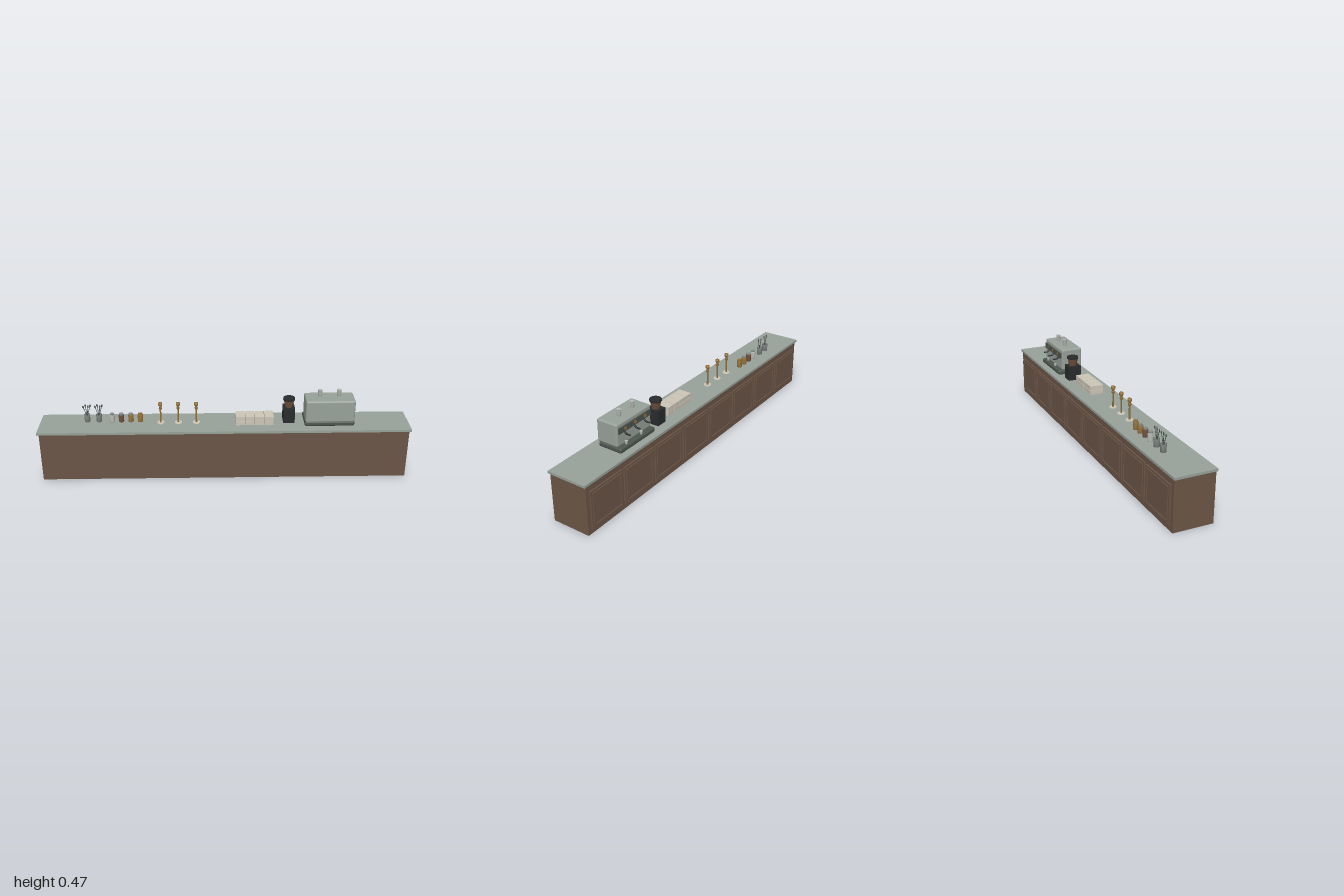
import * as THREE from 'three';
import { RoundedBoxGeometry } from 'three/addons/geometries/RoundedBoxGeometry.js';

const mat = (name, color) => {
  const m = new THREE.MeshStandardMaterial({ color });
  m.name = name;
  return m;
};

export function createModel() {
  const wood = mat('wood', 0x6b5546);
  const stone = mat('stone', 0x98a19a);
  const darkSteel = mat('darkSteel', 0x4c554f);
  const black = mat('black', 0x2a2b2c);
  const cream = mat('cream', 0xcdc6b8);
  const brass = mat('brass', 0x94713a);
  const steel = mat('steel', 0x858b88);
  const beans = mat('beans', 0x6e4f3c);
  const glass = mat('glass', 0xb4b8b2);
  glass.side = THREE.DoubleSide;
  steel.side = THREE.DoubleSide;

  const model = new THREE.Group();
  model.name = 'coffeeCounter';
  const TOP = 0.285; // counter surface

  const add = (parent, name, geo, material, x = 0, y = 0, z = 0) => {
    const m = new THREE.Mesh(geo, material);
    m.name = name;
    m.position.set(x, y, z);
    parent.add(m);
    return m;
  };
  const group = (name, x, y, z) => {
    const g = new THREE.Group();
    g.name = name;
    g.position.set(x, y, z);
    model.add(g);
    return g;
  };
  // Box given by its min and max corners
  const box = (parent, name, material, x0, x1, y0, y1, z0, z1, r = 0) => {
    const s = [x1 - x0, y1 - y0, z1 - z0];
    const geo = r ? new RoundedBoxGeometry(...s, 3, r) : new THREE.BoxGeometry(...s);
    return add(parent, name, geo, material, (x0 + x1) / 2, (y0 + y1) / 2, (z0 + z1) / 2);
  };
  // Upright cylinder standing on y
  const cyl = (parent, name, material, rTop, rBottom, y, h, x = 0, z = 0, n = 16) =>
    add(parent, name, new THREE.CylinderGeometry(rTop, rBottom, h, n), material, x, y + h / 2, z);
  const lathe = (parent, name, material, points, n = 16) =>
    add(parent, name, new THREE.LatheGeometry(points.map(p => new THREE.Vector2(...p)), n), material);
  // Round bar between two points
  const bar = (parent, name, material, a, b, r) => {
    const A = new THREE.Vector3(...a), B = new THREE.Vector3(...b);
    const d = B.clone().sub(A);
    const m = add(parent, name, new THREE.CylinderGeometry(r, r, d.length(), 8), material);
    m.position.copy(A).add(B).multiplyScalar(0.5);
    m.quaternion.setFromUnitVectors(new THREE.Vector3(0, 1, 0), d.normalize());
    return m;
  };

  // Counter
  box(model, 'counterBody', wood, -0.988, 0.988, 0.001, 0.272, -0.102, 0.1125);
  box(model, 'countertop', stone, -1, 1, 0.272, TOP, -0.109, 0.115);
  cyl(model, 'floorDrain', black, 0.015, 0.015, 0, 0.002, 0.755, 0.055);
  cyl(model, 'floorInlet', steel, 0.015, 0.015, 0, 0.002, 0.7, 0.058);

  // Cabinet doors with raised mouldings along the back
  const rect = (P, w, h) => {
    const p = new P();
    p.moveTo(-w, -h).lineTo(w, -h).lineTo(w, h).lineTo(-w, h).closePath();
    return p;
  };
  const moulding = rect(THREE.Shape, 0.104, 0.0925);
  moulding.holes.push(rect(THREE.Path, 0.093, 0.0815));
  const mouldingGeo = new THREE.ExtrudeGeometry(moulding, { depth: 0.005, bevelEnabled: false });
  for (let i = 0; i < 8; i++) {
    const x = (i - 3.5) * 0.243;
    box(model, 'cabinetDoor', wood, x - 0.115, x + 0.115, 0.027, 0.235, -0.11, -0.102);
    add(model, 'doorMoulding', mouldingGeo, wood, x, 0.131, -0.115);
  }

  // Coffee machine
  const machine = group('coffeeMachine', 0.565, 0, 0);
  box(machine, 'machineBase', darkSteel, -0.134, 0.134, TOP, 0.312, -0.074, 0.066, 0.009);
  box(machine, 'machineBody', stone, -0.132, 0.132, 0.311, 0.435, -0.051, 0.073, 0.01);
  box(machine, 'controlPanel', darkSteel, -0.122, 0.122, 0.382, 0.413, -0.058, -0.05);
  for (const x of [-0.075, 0, 0.075]) {
    const dial = cyl(machine, 'dial', brass, 0.009, 0.009, 0, 0.003, 0, 0);
    dial.rotation.x = Math.PI / 2;
    dial.position.set(x, 0.398, -0.059);
    bar(machine, 'brewNeck', black, [x, 0.379, -0.05], [x, 0.367, -0.063], 0.005);
    bar(machine, 'brewHandle', black, [x, 0.367, -0.061], [x, 0.367, -0.086], 0.004);
  }
  for (const x of [-0.04, 0.075]) cyl(machine, 'trayCup', glass, 0.008, 0.006, 0.312, 0.017, x, -0.059);
  for (const x of [-0.052, 0.05])
    for (let i = 0; i < 3; i++)
      cyl(machine, 'stackedCup', glass, 0.0125, 0.009, 0.434 + i * 0.009, 0.02, x, 0);

  // Grinder
  const grinder = group('grinder', 0.35, TOP, -0.018);
  box(grinder, 'grinderBody', black, -0.031, 0.031, 0, 0.082, -0.037, 0.037);
  cyl(grinder, 'beanHopper', beans, 0.029, 0.021, 0.082, 0.041, 0, 0, 24);
  cyl(grinder, 'hopperLid', black, 0.032, 0.032, 0.123, 0.011, 0, 0, 24);

  // Stacked cartons, two layers of four
  for (let i = 0; i < 4; i++)
    for (let j = 0; j < 2; j++) {
      const x = 0.061 + i * 0.0515, y = TOP + j * 0.025;
      box(model, 'carton', cream, x, x + 0.049, y, y + 0.0235, -0.034, 0.042);
    }

  // Brass stands
  for (const x of [-0.345, -0.25, -0.152]) {
    const stand = group('brassStand', x, TOP, 0.001);
    cyl(stand, 'standFoot', cream, 0.02, 0.021, 0, 0.004, 0, 0, 24);
    lathe(stand, 'standStem', brass, [[0, 0.004], [0.0045, 0.004], [0.004, 0.075], [0.009, 0.085],
      [0.008, 0.091], [0.005, 0.096], [0.011, 0.105], [0.011, 0.118], [0, 0.12]]);
  }

  // Ingredient jars
  [[-0.61, glass], [-0.56, beans], [-0.508, brass], [-0.457, brass]].forEach(([x, fill], i) => {
    const jar = group('jar', x, TOP, -0.02);
    lathe(jar, 'jarBody', fill, [[0, 0], [0.0135, 0], [0.0145, 0.003], [0.0145, 0.036], [0.011, 0.041], [0, 0.041]]);
    cyl(jar, 'jarLid', i === 3 ? brass : steel, 0.0115, 0.0115, 0.041, 0.007);
  });

  // Utensil pots
  for (const x of [-0.745, -0.681]) {
    const pot = group('utensilPot', x, TOP, -0.024);
    lathe(pot, 'pot', steel, [[0, 0.002], [0, 0], [0.015, 0], [0.016, 0.042], [0.0145, 0.042], [0.0135, 0.002], [0, 0.002]]);
    [[-0.018, 0.088, 0.003], [-0.007, 0.093, -0.004], [0.008, 0.09, 0.004], [0.019, 0.092, -0.002]].forEach(([tx, ty, tz]) => {
      bar(pot, 'utensilHandle', darkSteel, [-tx * 0.4, 0.004, 0], [tx, ty, tz], 0.0016);
      const head = add(pot, 'spoonHead', new THREE.SphereGeometry(0.005, 10, 8), darkSteel, tx, ty, tz);
      head.scale.set(1, 1.5, 0.5);
    });
  }
  return model;
}
